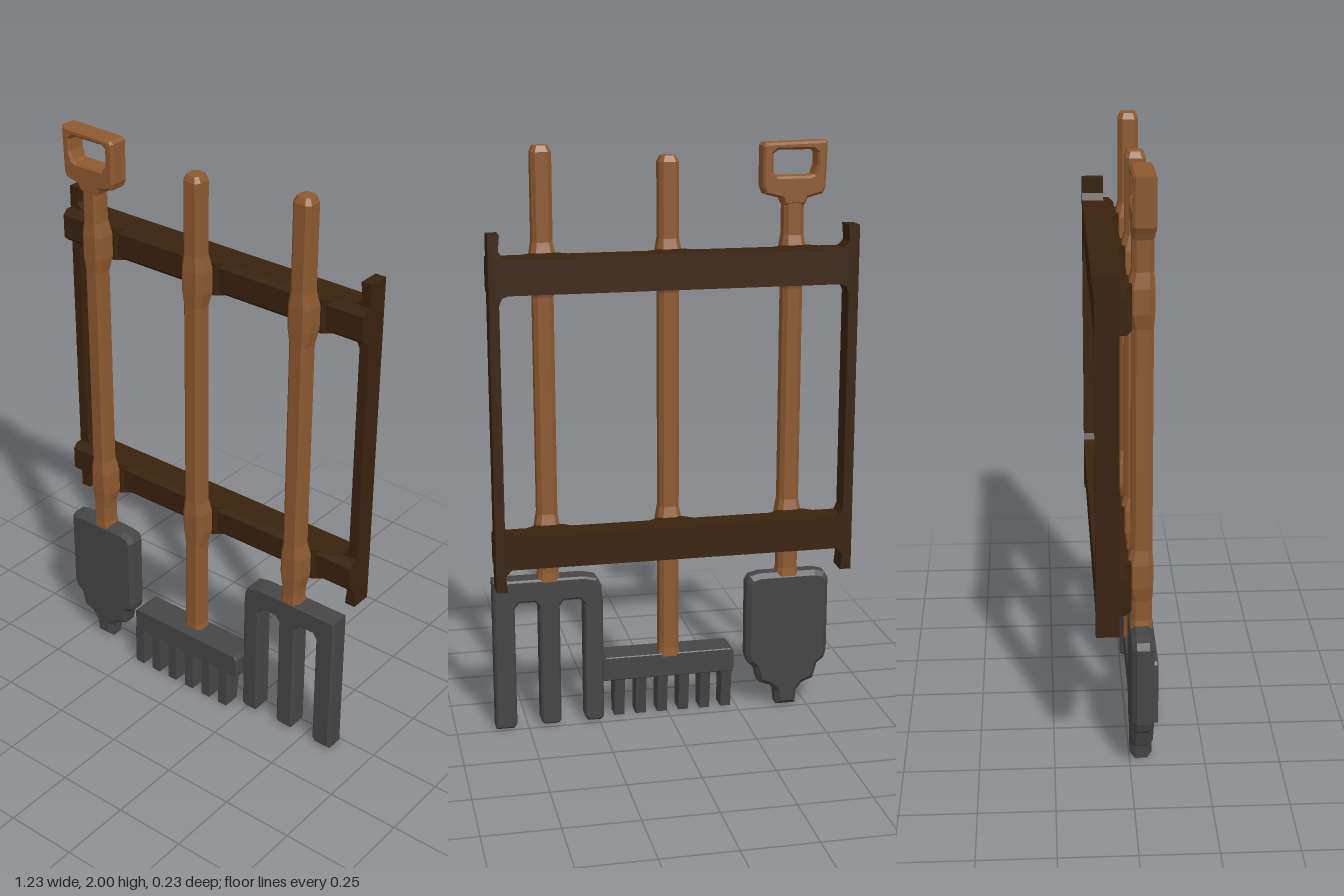
import * as THREE from 'three';

const mat = (name, color) => {
  const m = new THREE.MeshStandardMaterial({ color });
  m.name = name;
  return m;
};

export function createModel() {
  const root = new THREE.Group();
  const wood = mat('handle wood', 0x8f5a30);
  const dark = mat('dark rack wood', 0x39230e);
  const metal = mat('dark metal', 0x464646);

  const add = (parent, name, geo, material) => {
    const m = new THREE.Mesh(geo, material);
    m.name = name;
    parent.add(m);
    return m;
  };
  const group = (name) => {
    const g = new THREE.Group();
    g.name = name;
    root.add(g);
    return g;
  };
  const poly = (pts) => new THREE.Shape(pts.map(([x, y]) => new THREE.Vector2(x, y)));

  // Plate between two z planes, with a chamfer that keeps the outline size
  const plate = (shape, z0, z1, b = 0) => {
    const g = new THREE.ExtrudeGeometry(shape, {
      depth: z1 - z0 - 2 * b, bevelEnabled: b > 0, bevelSize: b,
      bevelThickness: b, bevelOffset: -b, bevelSegments: 1, curveSegments: 4,
    });
    return g.translate(0, 0, z0 + b);
  };

  // Chamfered square bar lofted through [y, half width, back z, front z]
  const loft = (x, levels) => {
    const pos = [], idx = [], n = 8;
    for (const [y, w, zb, zf] of levels) {
      const c = w * 0.4;
      for (const [px, pz] of [[w, zf - c], [w - c, zf], [c - w, zf], [-w, zf - c],
        [-w, zb + c], [c - w, zb], [w - c, zb], [w, zb + c]]) pos.push(x + px, y, pz);
    }
    for (let l = 0; l < levels.length - 1; l++) {
      for (let i = 0; i < n; i++) {
        const a = l * n + i, b = l * n + (i + 1) % n;
        idx.push(a, a + n, b, b, a + n, b + n);
      }
    }
    const t = (levels.length - 1) * n;
    for (let i = 1; i < n - 1; i++) idx.push(0, i, i + 1, t, t + i + 1, t + i);
    const g = new THREE.BufferGeometry();
    g.setAttribute('position', new THREE.Float32BufferAttribute(pos, 3));
    g.setIndex(idx);
    const flat = g.toNonIndexed();
    flat.computeVertexNormals();
    return flat;
  };

  // Handle with a swelling where it crosses each rail
  const handle = (parent, x, bottom, top, rounded) => {
    const levels = [[bottom, 0.04, 0.002, 0.075], [bottom + 0.03, 0.034, 0.005, 0.073]];
    for (const y of [0.68, 1.6]) {
      levels.push([y - 0.09, 0.034, 0.005, 0.073], [y - 0.04, 0.043, -0.008, 0.076],
        [y + 0.04, 0.043, -0.008, 0.076], [y + 0.09, 0.034, 0.005, 0.073]);
    }
    if (rounded) levels.push([top - 0.02, 0.034, 0.005, 0.073], [top, 0.024, 0.014, 0.064]);
    else levels.push([top, 0.034, 0.005, 0.073]);
    add(parent, 'handle', loft(x, levels), wood);
  };

  // Rack: one back frame with rounded inner corners, open above and below the rails
  const rack = group('rack');
  const X = 0.613, I = 0.58, r = 0.03;
  const frame = poly([
    [-X, 0.545], [-0.575, 0.545], [-I, 0.6], [-I + 0.02, 0.622], [I - 0.02, 0.622], [I, 0.6],
    [0.575, 0.545], [X, 0.545], [X, 1.735], [0.575, 1.735], [I, 1.68], [I - 0.02, 1.658],
    [-I + 0.02, 1.658], [-I, 1.68], [-0.575, 1.735], [-X, 1.735],
  ]);
  frame.holes.push(poly([
    [-I, 0.735 + r], [-I + 0.01, 0.742], [-I + r, 0.735], [I - r, 0.735], [I - 0.01, 0.742], [I, 0.735 + r],
    [I, 1.54 - r], [I - 0.01, 1.533], [I - r, 1.54], [-I + r, 1.54], [-I + 0.01, 1.533], [-I, 1.54 - r],
  ]));
  add(rack, 'frame', plate(frame, -0.115, -0.04), dark);

  // Front rails with chamfered edges, and saddles behind each handle
  for (const y of [0.678, 1.6]) {
    const profile = poly([[0.04, y - 0.057], [0.04, y + 0.057], [0.02, y + 0.057],
      [0.003, y + 0.04], [0.003, y - 0.04], [0.02, y - 0.057]]);
    const g = new THREE.ExtrudeGeometry(profile, { depth: 2 * X, bevelEnabled: false });
    g.translate(0, 0, -X).rotateY(Math.PI / 2);
    // Profile x now points along -z
    add(rack, 'rail', g, dark);
    for (const x of [-0.425, 0, 0.42]) {
      const s = poly([[x - 0.09, 0.03], [x + 0.09, 0.03], [x + 0.045, -0.005], [x - 0.045, -0.005]]);
      const sg = new THREE.ExtrudeGeometry(s, { depth: 0.114, bevelEnabled: false });
      sg.rotateX(-Math.PI / 2).translate(0, y - 0.057, 0);
      add(rack, 'saddle', sg, dark);
    }
  }

  // Spade
  const spade = group('spade');
  const sx = -0.425;
  handle(spade, sx, 0.49, 1.83, false);
  const grip = poly([
    [sx - 0.034, 1.79], [sx + 0.034, 1.79], [sx + 0.045, 1.813], [sx + 0.1, 1.826], [sx + 0.11, 1.85],
    [sx + 0.11, 1.985], [sx + 0.1, 1.995], [sx - 0.11, 2], [sx - 0.105, 1.845], [sx - 0.095, 1.826],
    [sx - 0.045, 1.813],
  ]);
  grip.holes.push(poly([
    [sx - 0.065, 1.89], [sx - 0.05, 1.885], [sx + 0.06, 1.885], [sx + 0.075, 1.9], [sx + 0.075, 1.96],
    [sx + 0.06, 1.972], [sx - 0.06, 1.972], [sx - 0.075, 1.96], [sx - 0.075, 1.92],
  ]));
  add(spade, 'grip', plate(grip, 0.003, 0.075, 0.008), wood);
  const half = [[0.035, 0.005], [0.04, 0.055], [0.06, 0.08], [0.1, 0.095], [0.115, 0.15],
    [0.14, 0.17], [0.148, 0.2], [0.148, 0.47], [0.135, 0.493], [0.1, 0.502]];
  const blade = poly([...half.map(([x, y]) => [sx + x, y]),
    ...half.slice().reverse().map(([x, y]) => [sx - x, y])]);
  add(spade, 'blade', plate(blade, 0.002, 0.075, 0.016), metal);

  // Rake
  const rake = group('rake');
  handle(rake, 0, 0.225, 1.96, true);
  add(rake, 'rakeBar', plate(poly([[-0.23, 0.15], [0.236, 0.15], [0.236, 0.225],
    [0.225, 0.235], [-0.22, 0.235], [-0.23, 0.225]]), 0.005, 0.112, 0.003), metal);
  for (let i = 0; i < 6; i++) {
    const g = new THREE.BoxGeometry(0.036, 0.155, 0.08);
    g.translate(-0.212 + i * 0.077, 0.0775, 0.072);
    const p = g.attributes.position;
    // Taper the back of the tooth and widen its root
    for (let k = 0; k < p.count; k++) {
      if (p.getY(k) < 0.05 && p.getZ(k) < 0.07) p.setZ(k, 0.05);
    }
    g.computeVertexNormals();
    add(rake, 'rakeTooth', g, metal);
  }

  // Fork: crossbar and three tines in one outline
  const fork = group('fork');
  handle(fork, 0.42, 0.53, 2, true);
  const tines = poly([
    [0.235, 0.02], [0.245, 0.008], [0.29, 0.008], [0.3, 0.02], [0.3, 0.44], [0.315, 0.46], [0.37, 0.46],
    [0.385, 0.44], [0.385, 0.02], [0.395, 0.008], [0.445, 0.008], [0.455, 0.02], [0.455, 0.44],
    [0.47, 0.46], [0.525, 0.46], [0.54, 0.44], [0.54, 0.02], [0.55, 0.003], [0.613, 0.003],
    [0.613, 0.54], [0.3, 0.54], [0.255, 0.53], [0.24, 0.505], [0.235, 0.45],
  ]);
  add(fork, 'forkHead', plate(tines, 0.003, 0.076, 0.007), metal);

  return root;
}
